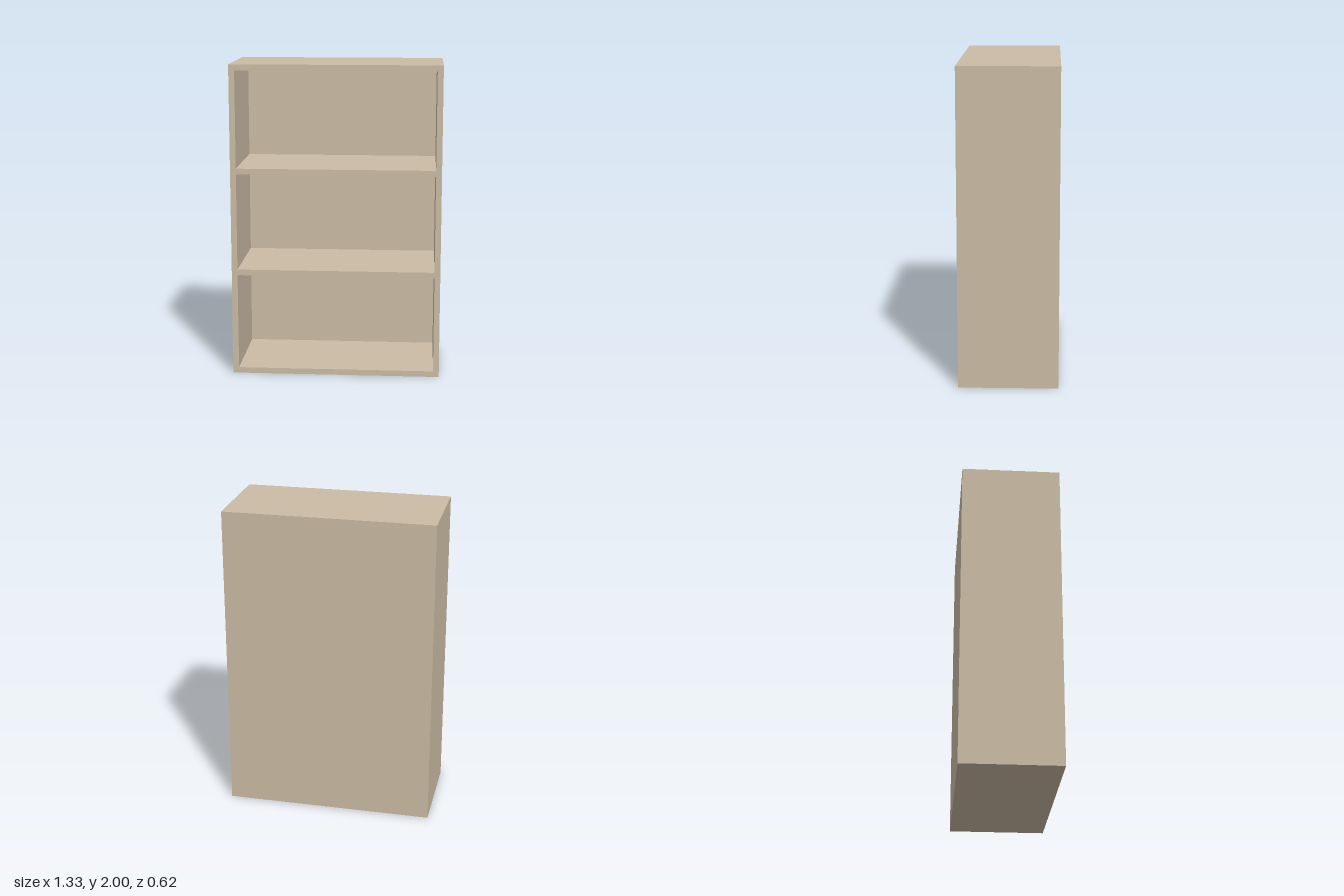
import * as THREE from 'three';

const W = 1.333, H = 2, D = 0.625; // outer size
const T = 0.037;                   // board thickness
const BACK = 0.01;                 // back panel thickness
const BAYS = 3;

export function createModel() {
  const group = new THREE.Group();
  group.name = 'bookcase';
  const wood = new THREE.MeshStandardMaterial({ color: 0xcbbca5 });
  wood.name = 'pale wood';

  const board = (name, w, h, d, x, y, z) => {
    const mesh = new THREE.Mesh(new THREE.BoxGeometry(w, h, d), wood);
    mesh.name = name;
    mesh.position.set(x, y, z);
    group.add(mesh);
  };

  // Upright sides
  for (const [name, s] of [['leftSide', 1], ['rightSide', -1]]) {
    board(name, T, H, D, s * (W - T) / 2, H / 2, 0);
  }

  // Base, shelves and top, evenly spaced between the sides
  for (let i = 0; i <= BAYS; i++) {
    const name = i === 0 ? 'base' : i === BAYS ? 'top' : `shelf${i}`;
    board(name, W - 2 * T, T, D, 0, T / 2 + i * (H - T) / BAYS, 0);
  }

  // Thin back panel, one piece closing each bay flush with the rear
  const pitch = (H - T) / BAYS;
  for (let i = 0; i < BAYS; i++) {
    board(`backPanel${i + 1}`, W - 2 * T, pitch - T, BACK, 0, T / 2 + (i + 0.5) * pitch, (BACK - D) / 2);
  }

  return group;
}
